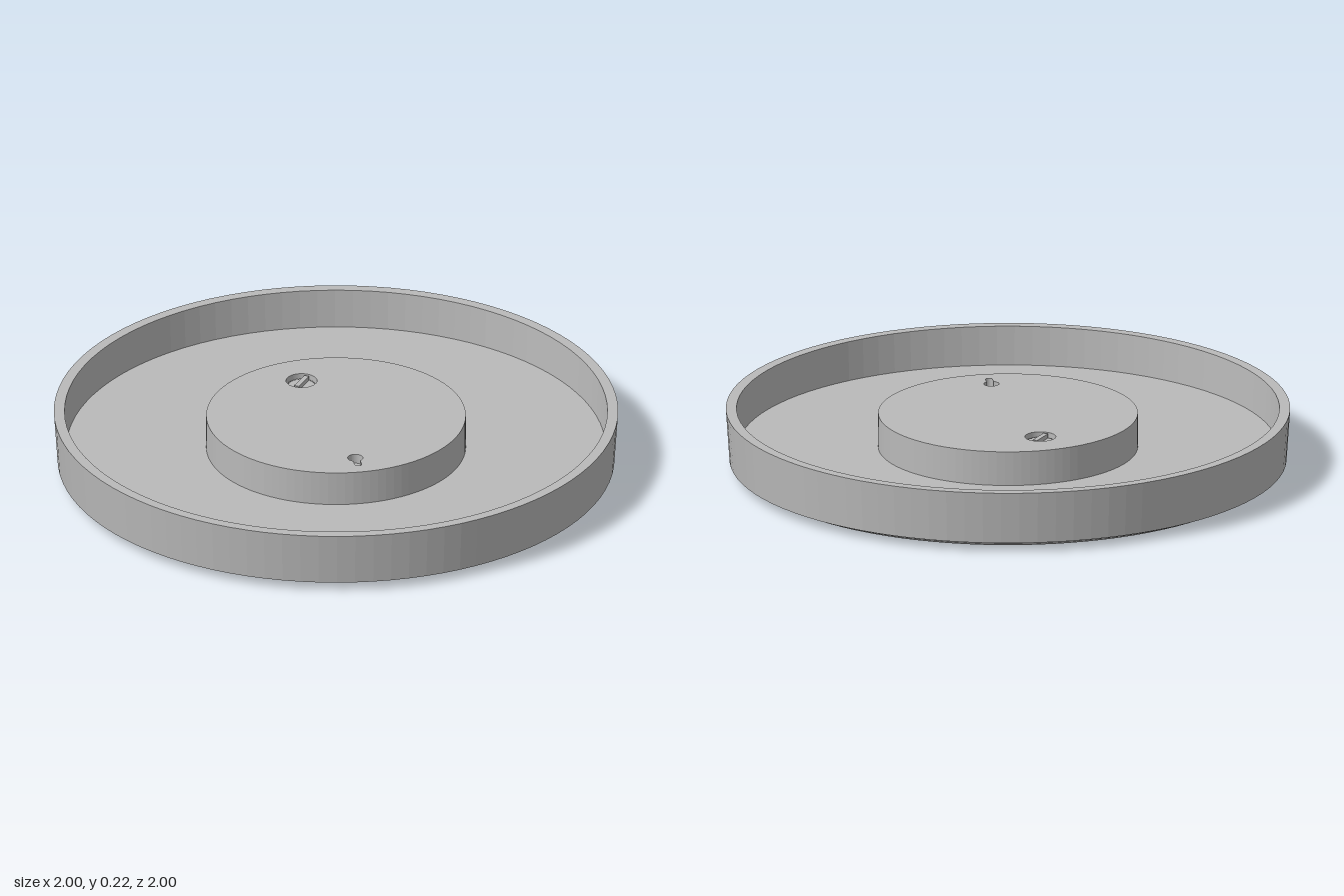
import * as THREE from 'three';

const SEGMENTS = 96;
const FLOOR = 0.08, POCKET = 0.17, HUB_TOP = 0.205, HUB_R = 0.46;
const KNOB = { x: -0.065, z: -0.295, r: 0.055 };

export function createModel() {
  const model = new THREE.Group();
  const grey = new THREE.MeshStandardMaterial({ color: 0xb9b9b9, flatShading: true });
  grey.name = 'grey plastic';

  const add = (name, geometry, x = 0, y = 0, z = 0, parent = model) => {
    const mesh = new THREE.Mesh(geometry, grey);
    mesh.name = name;
    mesh.position.set(x, y, z);
    parent.add(mesh);
    return mesh;
  };

  // Round case: stepped recess below, bevelled lip, tapered wall and inner floor
  const profile = [
    [0, 0.055], [0.865, 0.055], [0.865, 0.03], [0.887, 0.03], [0.887, 0],
    [0.9, 0], [0.925, 0.006], [0.955, 0.02], [0.968, 0.03], [0.987, 0.033],
    [1, 0.222], [0.962, 0.222], [0.955, FLOOR], [0, FLOOR],
  ].map(([r, y]) => new THREE.Vector2(r, y));
  add('case', new THREE.LatheGeometry(profile, SEGMENTS));

  // Central hub, solid up to the bottom of its pockets
  add('hubBase', new THREE.CylinderGeometry(HUB_R, HUB_R, POCKET - FLOOR, SEGMENTS),
    0, (POCKET + FLOOR) / 2, 0);

  // Hub top with a round knob pocket and a hanging keyhole
  const top = new THREE.Shape().absarc(0, 0, HUB_R, 0, Math.PI * 2);
  top.holes.push(new THREE.Path().absarc(KNOB.x, -KNOB.z, KNOB.r, 0, Math.PI * 2, true));
  const keyhole = new THREE.Path();
  const a = Math.asin(0.0125 / 0.027);
  keyhole.absarc(0, -0.345, 0.027, -Math.PI / 2 + a, -Math.PI / 2 - a, false);
  keyhole.absarc(0, -0.397, 0.0125, Math.PI, Math.PI * 2, false);
  keyhole.closePath();
  top.holes.push(keyhole);
  const cap = new THREE.ExtrudeGeometry(top, {
    depth: HUB_TOP - POCKET, bevelEnabled: false, curveSegments: SEGMENTS / 2,
  });
  cap.rotateX(-Math.PI / 2);
  add('hubTop', cap, 0, POCKET, 0);

  // Knurled setting knob with a diagonal grip
  const knob = new THREE.Group();
  knob.name = 'settingKnob';
  knob.position.set(KNOB.x, POCKET, KNOB.z);
  knob.rotation.y = 0.95;
  model.add(knob);
  const teeth = new THREE.Shape();
  for (let i = 0; i < 48; i++) {
    const t = (i / 48) * Math.PI * 2, r = i % 2 ? 0.045 : 0.05;
    teeth[i ? 'lineTo' : 'moveTo'](r * Math.cos(t), r * Math.sin(t));
  }
  teeth.closePath();
  const disc = new THREE.ExtrudeGeometry(teeth, { depth: 0.018, bevelEnabled: false });
  disc.rotateX(-Math.PI / 2);
  add('knobDisc', disc, 0, 0, 0, knob);
  add('knobGrip', new THREE.BoxGeometry(0.088, 0.017, 0.018), 0, 0.0255, 0, knob);

  return model;
}
